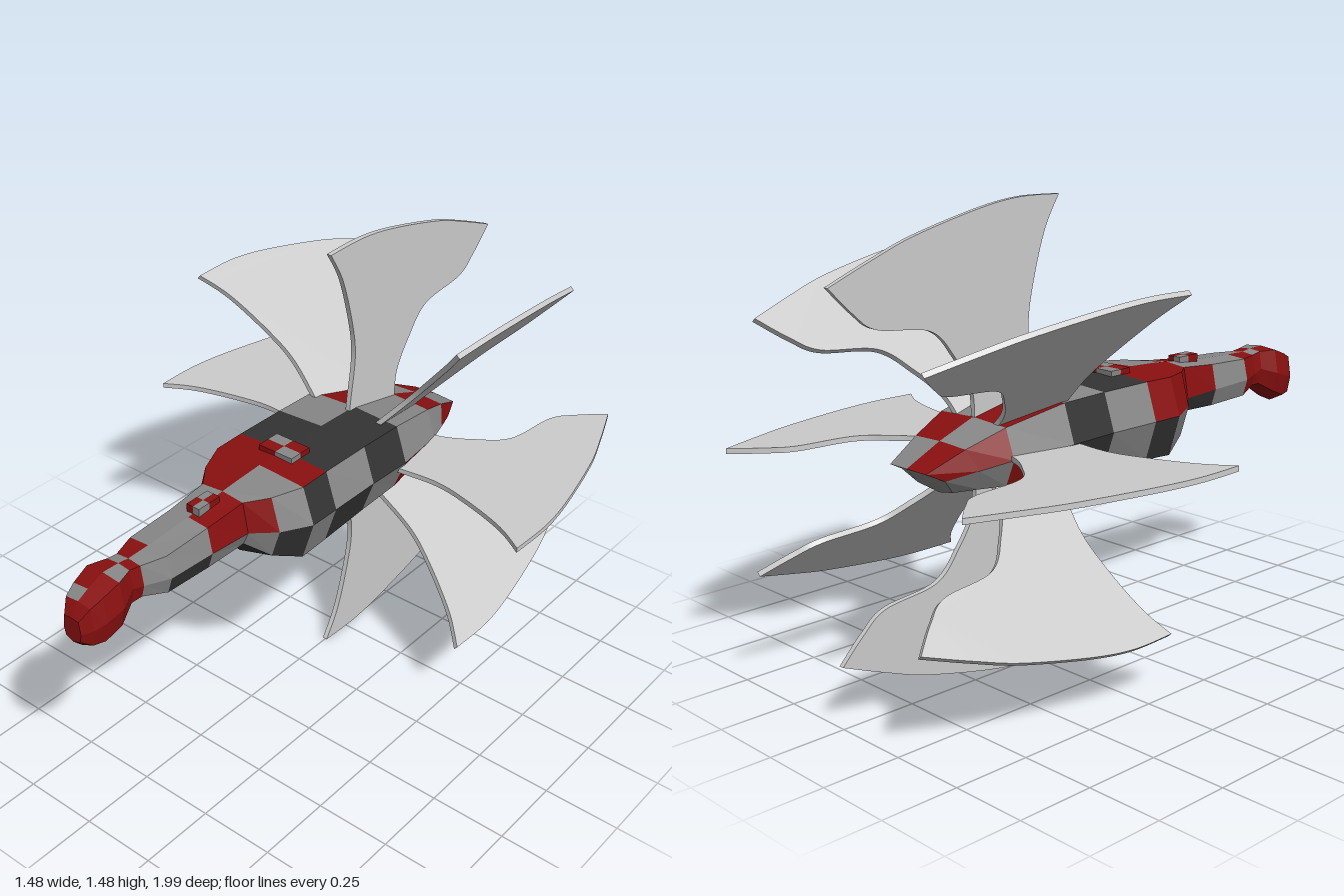
import * as THREE from 'three';

const COLORS = { R: 0x8a1010, G: 0x888888, D: 0x333333 };

// Hull stations, front to back: z, half width, top y, side y, bottom y, tilt of the ring in z
const STATIONS = [
  [0.99, 0.035, 0.785, 0.74, 0.70, 0],
  [0.96, 0.06, 0.825, 0.75, 0.67, 0],
  [0.92, 0.072, 0.845, 0.76, 0.66, 0],
  [0.86, 0.08, 0.868, 0.78, 0.685, 0],
  [0.80, 0.055, 0.866, 0.80, 0.725, 0],
  [0.76, 0.058, 0.86, 0.79, 0.73, 0],
  [0.68, 0.09, 0.862, 0.785, 0.705, 0],
  [0.51, 0.093, 0.87, 0.78, 0.70, 0],
  [0.36, 0.10, 0.885, 0.775, 0.71, 0],
  [0.29, 0.165, 0.89, 0.77, 0.63, 0],
  [0.19, 0.215, 0.895, 0.765, 0.575, 0],
  [0.08, 0.215, 0.897, 0.765, 0.583, 0],
  [-0.11, 0.215, 0.895, 0.765, 0.60, 0],
  [-0.28, 0.215, 0.89, 0.76, 0.612, 0],
  [-0.49, 0.18, 0.845, 0.745, 0.628, 0],
  [-0.59, 0.14, 0.795, 0.725, 0.635, 0.03],
  [-0.685, 0.10, 0.735, 0.705, 0.64, 0.06],
];

// Panel colours per segment, clockwise from the top seam as seen from the front
const PANELS = [
  'RRRRRRRR', 'RRRRRRRG', 'RRRRRRRR', 'GRRRRRRR', 'RRRRRRRG', 'GGGDGRRR',
  'GGDGDGGG', 'RRGDGDRG', 'GRGDDGRR', 'GGDGDGRR', 'RDGDGDRR', 'DGDGDGGD',
  'DDGDGDDG', 'GGRRRRGR', 'RGGRRGRG', 'GRRGGGRR',
];

// Eight-sided section in unit coordinates
const SECTION = [[0, 1], [0.81, 0.93], [1, 0], [0.8, -0.72], [0, -1], [-0.8, -0.72], [-1, 0], [-0.81, 0.93]];

function material(color) {
  return new THREE.MeshStandardMaterial({ color, flatShading: true });
}

function buildHull() {
  const rings = STATIONS.map(([z, w, top, mid, bottom, tilt]) =>
    SECTION.map(([u, v]) => [u * w, mid + v * (v > 0 ? top - mid : mid - bottom), z - v * tilt]));
  const data = { R: [], G: [], D: [] };

  PANELS.forEach((codes, i) => {
    for (let j = 0; j < 8; j++) {
      const k = (j + 1) % 8;
      const [a, b, c, d] = [rings[i][j], rings[i][k], rings[i + 1][k], rings[i + 1][j]];
      data[codes[j]].push(...a, ...b, ...c, ...a, ...c, ...d);
    }
  });

  // Nose and tail caps
  const front = rings[0], back = rings[rings.length - 1];
  for (let j = 1; j < 7; j++) {
    data.R.push(...front[0], ...front[j + 1], ...front[j]);
    data.G.push(...back[0], ...back[j], ...back[j + 1]);
  }

  const hull = new THREE.Group();
  hull.name = 'hull';
  const names = { R: 'redPanels', G: 'greyPanels', D: 'darkPanels' };
  for (const key of Object.keys(data)) {
    const geometry = new THREE.BufferGeometry();
    geometry.setAttribute('position', new THREE.Float32BufferAttribute(data[key], 3));
    geometry.computeVertexNormals();
    const mesh = new THREE.Mesh(geometry, material(COLORS[key]));
    mesh.name = names[key];
    hull.add(mesh);
  }
  return hull;
}

// Axe-shaped fin outline: x runs backwards, y is the distance from the hull axis
function finGeometry() {
  const points = (list) => list.map(([x, y]) => new THREE.Vector2(x, y));
  const shape = new THREE.Shape();
  shape.moveTo(0.24, 0.09);
  shape.splineThru(points([[0.25, 0.18], [0.27, 0.34], [0.25, 0.47], [0.2, 0.63], [0.14, 0.735]]));
  shape.splineThru(points([[0.3, 0.737], [0.46, 0.715], [0.7, 0.658], [0.85, 0.605], [1, 0.545]]));
  shape.splineThru(points([[0.92, 0.465], [0.84, 0.41], [0.65, 0.38], [0.56, 0.29], [0.5, 0.19], [0.49, 0.09]]));
  shape.closePath();
  const thickness = 0.017;
  const geometry = new THREE.ExtrudeGeometry(shape, { depth: thickness, bevelEnabled: false, curveSegments: 14 });
  geometry.translate(0, 0, -thickness / 2);
  geometry.rotateY(Math.PI / 2);
  return geometry;
}

function buildFins() {
  const fins = new THREE.Group();
  fins.name = 'fins';
  fins.position.y = 0.745;
  const geometry = finGeometry();
  const finMaterial = material(0xcccccc);
  for (const angle of [90, 49, -1.4, -42.4]) {
    for (const turn of [0, 180]) {
      const fin = new THREE.Mesh(geometry, finMaterial);
      fin.name = 'fin';
      fin.rotation.z = THREE.MathUtils.degToRad(angle + turn - 90);
      fins.add(fin);
    }
  }
  return fins;
}

function block(name, color, size, position) {
  const mesh = new THREE.Mesh(new THREE.BoxGeometry(...size), material(color));
  mesh.name = name;
  mesh.position.set(...position);
  return mesh;
}

export function createModel() {
  const model = new THREE.Group();
  model.name = 'finnedCraft';
  model.add(buildHull(), buildFins());

  // Small checkered hatch on the back and sight block on the neck
  for (const side of [-1, 1]) {
    for (const end of [-1, 1]) {
      const color = side * end > 0 ? COLORS.G : COLORS.R;
      model.add(block('hatch', color, [0.066, 0.03, 0.043], [0.004 + side * 0.033, 0.896, 0.078 + end * 0.0215]));
      model.add(block('neckBlock', color, [0.025, 0.04, 0.045], [side * 0.0125, 0.877, 0.445 + end * 0.0225]));
    }
  }
  return model;
}
